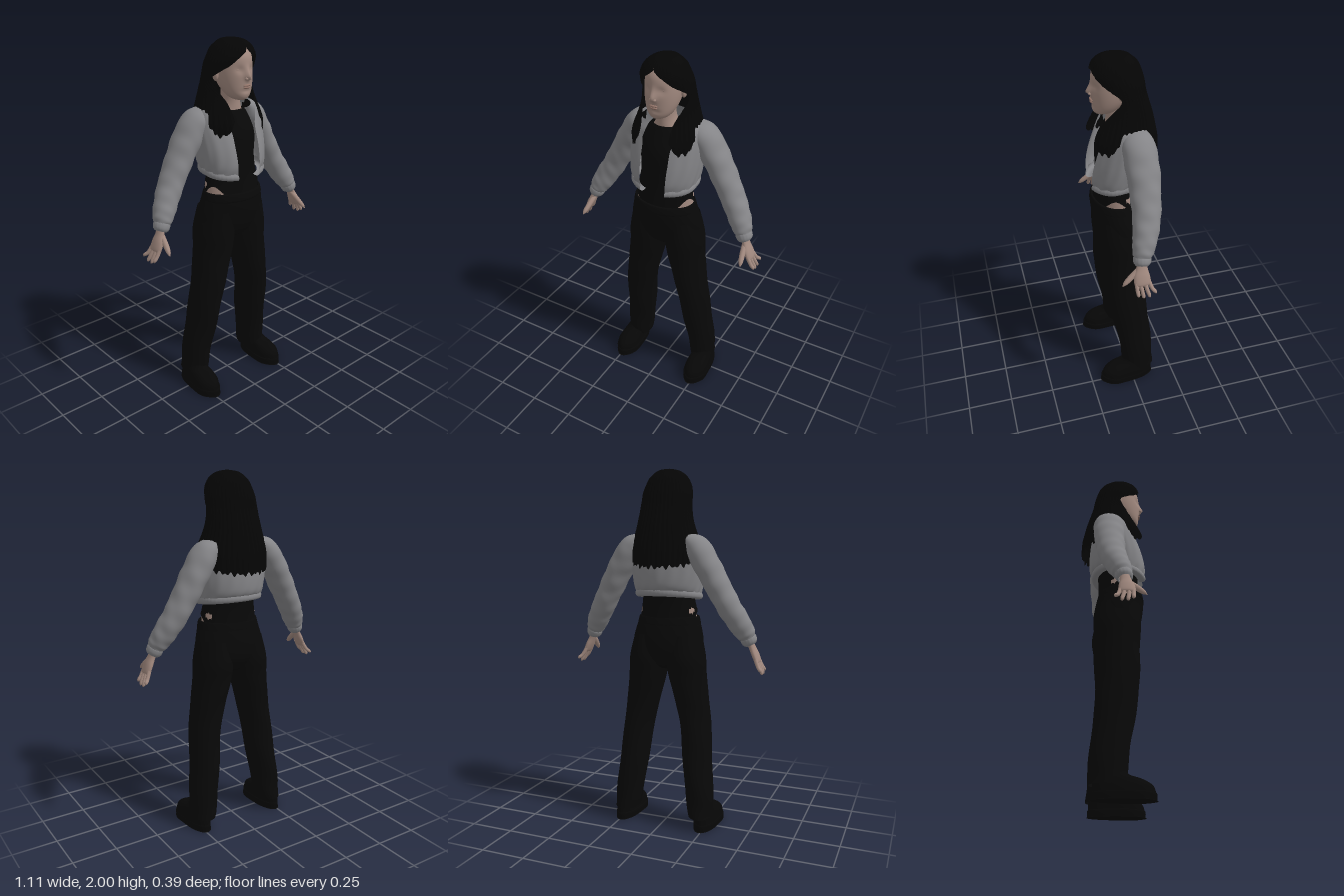
import * as THREE from 'three';
import { mergeVertices } from 'three/addons/utils/BufferGeometryUtils.js';

const mat = (name, color) => {
  const m = new THREE.MeshStandardMaterial({ color, side: THREE.DoubleSide });
  m.name = name;
  return m;
};

// Componentwise Catmull-Rom through rows of numbers, t in 0..1
function sample(rows, t) {
  const f = t * (rows.length - 1), i = Math.min(Math.floor(f), rows.length - 2), s = f - i;
  const at = (k) => rows[Math.max(0, Math.min(rows.length - 1, k))];
  const [a, b, c, d] = [at(i - 1), at(i), at(i + 1), at(i + 2)];
  return b.map((p, k) => p + 0.5 * s * (c[k] - a[k] + s * (2 * a[k] - 5 * p + 4 * c[k] - d[k]
    + s * (3 * (p - c[k]) + d[k] - a[k]))));
}

// Grid surface; u runs round from the front towards +x, v runs downwards
function grid(nu, nv, fn) {
  const pos = [], idx = [];
  for (let j = 0; j <= nv; j++) for (let i = 0; i <= nu; i++) pos.push(...fn(i / nu, j / nv));
  for (let j = 0; j < nv; j++) for (let i = 0; i < nu; i++) {
    const a = j * (nu + 1) + i, b = a + nu + 1;
    idx.push(a, b, b + 1, a, b + 1, a + 1);
  }
  let g = new THREE.BufferGeometry();
  g.setAttribute('position', new THREE.Float32BufferAttribute(pos, 3));
  g.setIndex(idx);
  g = mergeVertices(g, 1e-5);
  g.computeVertexNormals();
  return g;
}

// Horizontal sections [y, halfWidth, zFront, zBack, frontGapAngle, centreX]
function body(rows, nu = 40, warp = (p) => p, k = 5) {
  const full = rows.map(([y, rx, zf, zb, gap = 0, cx = 0]) => [y, rx, zf, zb, gap, cx]);
  return grid(nu, (rows.length - 1) * k, (u, v) => {
    const [y, rx, zf, zb, gap, cx] = sample(full, v);
    const g = Math.max(0, gap), a = g + u * (2 * Math.PI - 2 * g);
    return warp([cx + rx * Math.sin(a), y, (zf + zb) / 2 + (zf - zb) / 2 * Math.cos(a)], a, v);
  });
}

// Limb along a path of [x, y, z, thickness, depth]
function limb(rows, nu = 16, k = 5, fold = () => 0) {
  const front = new THREE.Vector3(0, 0, 1);
  return grid(nu, (rows.length - 1) * k, (u, v) => {
    const c = sample(rows, v), e = 0.01;
    const p = sample(rows, Math.max(0, v - e)), q = sample(rows, Math.min(1, v + e));
    const up = new THREE.Vector3(p[0] - q[0], p[1] - q[1], p[2] - q[2]).normalize();
    const U = up.clone().cross(front).normalize(), V = U.clone().cross(up);
    const a = u * Math.PI * 2, r = 1 + fold(a, v);
    const w = U.multiplyScalar(c[3] * r * Math.sin(a)).addScaledVector(V, c[4] * r * Math.cos(a));
    return [c[0] + w.x, c[1] + w.y, c[2] + w.z];
  });
}

const ball = (x, y, z, sx, sy, sz) =>
  new THREE.SphereGeometry(1, 20, 14).scale(sx, sy, sz).translate(x, y, z);

function mirrored(geo) {
  const g = geo.clone().scale(-1, 1, 1), ix = g.index.array;
  for (let i = 0; i < ix.length; i += 3) [ix[i], ix[i + 1]] = [ix[i + 1], ix[i]];
  g.computeVertexNormals();
  return g;
}

export function createModel() {
  const model = new THREE.Group();
  const skin = mat('skin', 0xa0887e), lip = mat('lips', 0x927469), hairMat = mat('hair', 0x050505);
  const grey = mat('jacket grey', 0x858588), black = mat('cloth black', 0x080808);
  const shoeMat = mat('shoe black', 0x070707);
  const add = (name, geo, m) => {
    const mesh = new THREE.Mesh(geo, m);
    mesh.name = name;
    model.add(mesh);
  };
  const pair = (name, geo, m) => {
    add('left' + name, geo, m);
    add('right' + name, mirrored(geo), m);
  };
  const bump = (d, w) => Math.exp(-((d / w) ** 2));

  // Head with sculpted eye sockets and nose
  add('head', body([
    [1.975, 0.001, 0.04, 0.038], [1.965, 0.055, 0.1, -0.05], [1.92, 0.088, 0.143, -0.08],
    [1.87, 0.094, 0.153, -0.085], [1.82, 0.094, 0.155, -0.07], [1.77, 0.086, 0.153, -0.04],
    [1.73, 0.07, 0.15, 0], [1.705, 0.049, 0.142, 0.03], [1.692, 0.022, 0.125, 0.06], [1.69, 0.001, 0.1, 0.098],
  ], 72, ([x, y, z]) => {
    if (z > 0.06) {
      z -= 0.009 * bump(Math.abs(x) - 0.037, 0.02) * bump(y - 1.85, 0.018);
      z += 0.024 * bump(x, 0.015) * bump(y - 1.812, y > 1.812 ? 0.035 : 0.014);
      z -= 0.006 * bump(x, 0.03) * bump(y - 1.742, 0.01);
    }
    return [x, y, z];
  }), skin);
  pair('Eyelid', ball(0.037, 1.85, 0.123, 0.019, 0.01, 0.012), skin);
  pair('Nostril', ball(0.011, 1.806, 0.16, 0.009, 0.008, 0.01), skin);
  pair('Ear', ball(0.099, 1.82, 0.022, 0.014, 0.033, 0.019), skin);
  add('upperLip', ball(0, 1.771, 0.152, 0.024, 0.006, 0.009), lip);
  add('lowerLip', ball(0, 1.76, 0.15, 0.021, 0.007, 0.01), lip);
  add('neck', body([[1.76, 0.05, 0.09, -0.03], [1.69, 0.048, 0.08, -0.035],
    [1.64, 0.06, 0.08, -0.05], [1.59, 0.095, 0.08, -0.07]]), skin);

  // Long hair parted in the middle, falling before and behind the shoulders
  add('hair', body([
    [2, 0.001, 0.041, 0.039, 0], [1.99, 0.052, 0.1, -0.03, 0], [1.97, 0.085, 0.133, -0.06, 0],
    [1.945, 0.107, 0.15, -0.085, 0.05], [1.91, 0.124, 0.158, -0.1, 0.42], [1.87, 0.136, 0.14, -0.112, 0.66],
    [1.84, 0.139, 0.128, -0.118, 0.98], [1.8, 0.142, 0.112, -0.125, 1.25], [1.74, 0.15, 0.112, -0.142, 0.88],
    [1.68, 0.163, 0.135, -0.16, 0.6], [1.6, 0.187, 0.172, -0.178, 0.47], [1.55, 0.192, 0.186, -0.187, 0.55],
    [1.475, 0.188, 0.188, -0.19, 0.7],
  ], 180, ([x, y, z], a, v) => {
    const r = 1 + 0.012 * Math.sin(a * 41) * Math.min(1, v * 4), w = v ** 12;
    const cut = 0.03 * (1 + Math.cos(a)) + 0.006 * Math.sin(a * 23) + 0.007 * Math.sin(a * 37 + 1);
    return [x * r, y + w * cut, z * r];
  }, 4), hairMat);

  // Top, cut high over the hips, with bare waist beneath
  add('waist', body([[1.3, 0.138, 0.13, -0.08], [1.24, 0.158, 0.138, -0.082], [1.14, 0.166, 0.147, -0.088]]), skin);
  add('top', body([
    [1.635, 0.075, 0.083, -0.06], [1.6, 0.11, 0.1, -0.09], [1.5, 0.142, 0.137, -0.1],
    [1.38, 0.14, 0.138, -0.1], [1.28, 0.15, 0.14, -0.087], [1.165, 0.166, 0.152, -0.092],
  ], 72, ([x, y, z], a, v) => {
    const side = Math.PI - Math.abs(a - Math.PI);
    return [x, y + 0.075 * bump(side - 1.25, 0.5) * v ** 6, z];
  }), black);

  // Cropped open jacket: soft folds, then a ribbed hem that rises to the back
  const tilt = (a, v) => 0.02 * (1 - Math.cos(a)) * v ** 4;
  const square = (a) => 1 + 0.05 * Math.abs(Math.sin(2 * a));
  add('jacketBody', body([
    [1.685, 0.09, 0.03, -0.085, 1.3], [1.668, 0.135, 0.06, -0.097, 1.15], [1.635, 0.182, 0.098, -0.115, 0.8],
    [1.56, 0.203, 0.132, -0.133, 0.43], [1.45, 0.2, 0.172, -0.142, 0.4],
    [1.36, 0.19, 0.19, -0.14, 0.4], [1.31, 0.182, 0.184, -0.126, 0.4],
  ], 96, ([x, y, z], a, v) => {
    const r = 1 + 0.014 * v * v * Math.sin(a * 17 + 2 * Math.sin(v * 7));
    return [x * r * square(a), y + tilt(a, v), z * r];
  }), grey);
  add('jacketHem', body([[1.315, 0.181, 0.183, -0.125, 0.4], [1.3, 0.186, 0.191, -0.13, 0.39],
    [1.283, 0.183, 0.188, -0.127, 0.39], [1.276, 0.168, 0.172, -0.112, 0.39], [1.282, 0.15, 0.15, -0.09, 0.39]],
  120, ([x, y, z], a) => {
    const r = 1 + 0.005 * Math.sin(a * 50);
    return [x * r * square(a), y + tilt(a, 1), z * r];
  }, 3), grey);
  pair('Sleeve', limb([
    [0.14, 1.63, -0.035, 0.03, 0.06], [0.188, 1.58, -0.038, 0.068, 0.085], [0.25, 1.482, -0.043, 0.071, 0.087],
    [0.312, 1.37, -0.04, 0.068, 0.08], [0.37, 1.265, -0.03, 0.065, 0.073], [0.42, 1.18, -0.008, 0.062, 0.064],
    [0.453, 1.12, 0.012, 0.053, 0.054], [0.464, 1.095, 0.018, 0.04, 0.042],
  ], 40, 8, (a, v) => 0.035 * Math.sin(v * 48 + 2 * Math.sin(a + 1)) * Math.sin(a * 2 + v * 9) * Math.min(1, v * 3)), grey);
  pair('Cuff', limb([[0.458, 1.11, 0.015, 0.036, 0.038], [0.464, 1.098, 0.018, 0.044, 0.046],
    [0.474, 1.075, 0.022, 0.042, 0.044], [0.48, 1.062, 0.024, 0.03, 0.034]], 48, 3,
  (a) => 0.015 * Math.sin(a * 16)), grey);

  // Hands, fingers spread and thumb forward
  pair('Palm', limb([[0.467, 1.095, 0.02, 0.02, 0.026], [0.485, 1.05, 0.026, 0.018, 0.03],
    [0.503, 1.01, 0.03, 0.019, 0.042], [0.52, 0.97, 0.03, 0.015, 0.042], [0.524, 0.96, 0.03, 0.002, 0.02]]), skin);
  [[-0.002, -0.03, 0.92], [0.02, 0.002, 0.902], [0.042, 0.033, 0.902], [0.062, 0.06, 0.915]].forEach(([z0, z1, y], i) =>
    pair('Finger' + (i + 1), limb([[0.513, 0.985, z0, 0.011, 0.011], [0.533, 0.945, (z0 + z1) / 2, 0.0105, 0.0105],
      [0.548, y + 0.01, z1, 0.009, 0.009], [0.552, y, z1, 0.001, 0.001]], 10, 4), skin));
  pair('Thumb', limb([[0.482, 1.045, 0.035, 0.015, 0.016], [0.49, 1.01, 0.078, 0.015, 0.016],
    [0.498, 0.98, 0.114, 0.012, 0.012], [0.503, 0.963, 0.132, 0.001, 0.001]], 10, 4), skin);

  // Wide trousers
  add('waistband', body([[1.2, 0.166, 0.155, -0.083], [1.197, 0.174, 0.166, -0.09], [1.165, 0.182, 0.172, -0.099],
    [1.155, 0.183, 0.168, -0.1]], 40), black);
  add('trouserSeat', body([[1.18, 0.175, 0.166, -0.092], [1.14, 0.188, 0.168, -0.104], [1.07, 0.204, 0.16, -0.115],
    [1, 0.2, 0.142, -0.112], [0.95, 0.14, 0.115, -0.088], [0.91, 0.05, 0.07, -0.05], [0.9, 0.002, 0.02, 0]], 48), black);
  pair('TrouserLeg', body([
    [1.1, 0.085, 0.14, -0.095, 0, 0.105], [0.98, 0.107, 0.144, -0.117, 0, 0.111], [0.88, 0.107, 0.135, -0.108, 0, 0.119],
    [0.75, 0.096, 0.13, -0.098, 0, 0.142], [0.6, 0.086, 0.122, -0.095, 0, 0.17], [0.4, 0.081, 0.092, -0.117, 0, 0.191],
    [0.2, 0.077, 0.057, -0.13, 0, 0.214], [0.075, 0.07, 0.048, -0.135, 0, 0.226],
  ], 40, ([x, y, z], a, v) => [x, y, z + 0.004 * Math.sin(v * 30 + a * 2) * v]), black);

  // Chunky round-toed shoes on a flat sole
  const cx = 0.236;
  const toe = ([x, y, z]) => [x + (x - cx) * 0.22 * bump(z - 0.13, 0.06), Math.max(0, y), z];
  pair('ShoeUpper', body([
    [0.16, 0.045, 0.03, -0.1, 0, cx], [0.125, 0.05, 0.06, -0.11, 0, cx], [0.1, 0.055, 0.13, -0.115, 0, cx + 0.004],
    [0.07, 0.061, 0.175, -0.12, 0, cx + 0.006], [0.03, 0.064, 0.186, -0.122, 0, cx + 0.007],
  ], 32, toe), shoeMat);
  pair('ShoeSole', body([[0.04, 0.058, 0.178, -0.115, 0, cx + 0.006], [0.036, 0.066, 0.19, -0.125, 0, cx + 0.006],
    [0.003, 0.065, 0.189, -0.124, 0, cx + 0.006], [0, 0.06, 0.182, -0.118, 0, cx + 0.006],
    [0, 0.001, 0.031, 0.029, 0, cx + 0.006]], 32, toe), shoeMat);

  return model;
}
